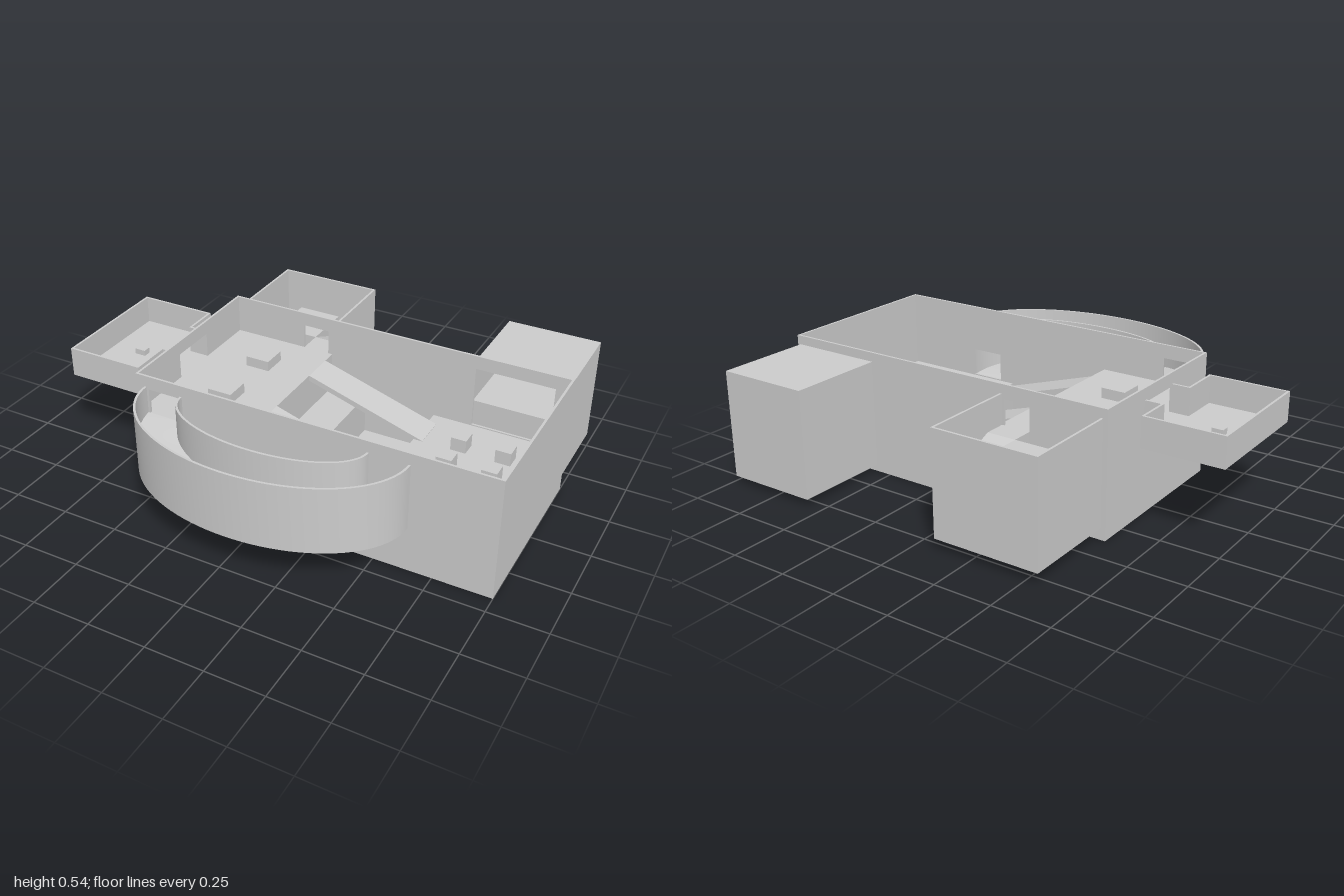
import * as THREE from 'three';

const T = 0.01; // wall thickness

export function createModel() {
  const model = new THREE.Group();
  const stone = new THREE.MeshStandardMaterial({ color: 0xcccccc });
  stone.name = 'light grey';

  const add = (name, geometry) => {
    const mesh = new THREE.Mesh(geometry, stone);
    mesh.name = name;
    model.add(mesh);
    return mesh;
  };

  // Box given by its limits
  const block = (name, x0, x1, y0, y1, z0, z1) =>
    add(name, new THREE.BoxGeometry(x1 - x0, y1 - y0, z1 - z0)
      .translate((x0 + x1) / 2, (y0 + y1) / 2, (z0 + z1) / 2));

  // Box whose top and bottom heights follow rules of x and z
  const slopedBlock = (name, x0, x1, z0, z1, top, bottom) => {
    const g = new THREE.BoxGeometry(x1 - x0, 1, z1 - z0).translate((x0 + x1) / 2, 0, (z0 + z1) / 2);
    const p = g.attributes.position;
    for (let i = 0; i < p.count; i++) {
      const rule = p.getY(i) > 0 ? top : bottom;
      p.setY(i, rule(p.getX(i), p.getZ(i)));
    }
    const flat = g.toNonIndexed();
    flat.computeVertexNormals();
    return add(name, flat);
  };

  // Upright wall along x (or z) with rectangular doorways [a0, a1, y0, y1]
  const wall = (name, a0, a1, y0, y1, at, doors = [], alongZ = false) => {
    const rect = (s, l, r, b, t) => s.moveTo(l, b).lineTo(r, b).lineTo(r, t).lineTo(l, t).closePath();
    const sign = alongZ ? -1 : 1;
    const shape = rect(new THREE.Shape(), ...[a0 * sign, a1 * sign].sort((a, b) => a - b), y0, y1);
    for (const [d0, d1, b, t] of doors) {
      const [l, r] = [d0 * sign, d1 * sign].sort((a, b) => a - b);
      shape.holes.push(rect(new THREE.Path(), l, r, b, t));
    }
    const g = new THREE.ExtrudeGeometry(shape, { depth: T, bevelEnabled: false });
    if (alongZ) g.rotateY(Math.PI / 2).translate(at, 0, 0);
    else g.translate(0, 0, at);
    return add(name, g);
  };

  // Main hall walls with doorways to the annexes
  wall('hallFrontWall', -0.58, 1, 0, 0.54, 0.42 - T, [[-0.52, -0.38, 0.37, 0.48], [0.48, 0.63, 0.205, 0.33]]);
  wall('hallBackWall', -0.58, 1, 0, 0.54, -0.375, [[-0.23, -0.11, 0.37, 0.48], [0.585, 0.93, 0.205, 0.48]]);
  wall('hallLeftWall', -0.365, 0.41, 0, 0.54, 1 - T, [], true);
  wall('hallRightWall', -0.365, 0.41, 0, 0.54, -0.58, [[-0.09, 0.12, 0.37, 0.48]], true);

  // Hall floors: high platform, low floor, middle bridge, sunken pits
  const zb = -0.365, zf = 0.41;
  block('hallBase', -0.57, 0.99, 0, 0.02, zb, zf);
  block('highPlatform', -0.57, -0.09, 0.02, 0.37, zb, zf);
  block('middleFloor', -0.09, 0.08, 0.02, 0.2, zb, zf);
  block('bridge', 0.08, 0.41, 0.02, 0.2, -0.04, 0.06);
  block('lowFloor', 0.41, 0.99, 0.02, 0.2, zb, zf);

  // Ramps joining the platform and the low floor
  const rampTop = (x) => 0.37 - 0.168 * (x + 0.09) / 0.54;
  for (const [z0, z1] of [[-0.3, -0.15], [0.13, 0.3]]) {
    slopedBlock('hallRamp', -0.09, 0.45, z0, z1, rampTop, (x) => rampTop(x) - 0.025);
  }

  // Crates
  for (const z of [-0.155, 0.155]) block('largeCrate', -0.375, -0.265, 0.37, 0.415, z - 0.055, z + 0.055);
  for (const x of [0.61, 0.805]) {
    for (const z of [-0.185, -0.025, 0.135]) {
      block('smallCrate', x - 0.034, x + 0.034, 0.2, 0.26, z - 0.034, z + 0.034);
    }
  }

  // Side room and its neck
  block('sideRoomFloor', -1, -0.65, 0.36, 0.37, -0.25, 0.31);
  block('neckFloor', -0.65, -0.58, 0.36, 0.37, -0.1, 0.13);
  wall('sideRoomBackWall', -1, -0.65, 0.36, 0.49, -0.25);
  wall('sideRoomFrontWall', -1, -0.65, 0.36, 0.49, 0.3);
  wall('sideRoomOuterWall', -0.24, 0.3, 0.36, 0.49, -1, [], true);
  wall('sideRoomInnerWall', -0.24, -0.09, 0.36, 0.49, -0.66, [], true);
  wall('sideRoomInnerWall', 0.12, 0.3, 0.36, 0.49, -0.66, [], true);
  wall('neckBackWall', -0.65, -0.58, 0.36, 0.49, -0.1);
  wall('neckFrontWall', -0.65, -0.58, 0.36, 0.49, 0.12);
  block('sideRoomCrate', -0.865, -0.815, 0.37, 0.395, 0.007, 0.043);

  // Open stair room: ramps winding down around a column
  wall('stairRoomBackWall', -0.56, -0.09, 0.05, 0.5, -0.8);
  wall('stairRoomRightWall', -0.79, -0.375, 0.05, 0.5, -0.56, [], true);
  wall('stairRoomLeftWall', -0.79, -0.375, 0.05, 0.5, -0.1, [], true);
  block('stairRoomFloor', -0.55, -0.1, 0.05, 0.07, -0.79, -0.375);
  block('stairColumn', -0.43, -0.23, 0.07, 0.37, -0.7, -0.47);
  block('topLanding', -0.23, -0.1, 0.07, 0.37, -0.47, -0.375);
  const low = () => 0.07;
  slopedBlock('windingRamp', -0.23, -0.1, -0.7, -0.47, (x, z) => 0.27 + 0.1 * (z + 0.7) / 0.23, low);
  block('cornerLanding', -0.23, -0.1, 0.07, 0.27, -0.79, -0.7);
  slopedBlock('windingRamp', -0.43, -0.23, -0.79, -0.7, (x) => 0.18 + 0.09 * (x + 0.43) / 0.2, low);
  block('cornerLanding', -0.55, -0.43, 0.07, 0.18, -0.79, -0.7);
  slopedBlock('windingRamp', -0.55, -0.43, -0.7, -0.47, (x, z) => 0.18 - 0.1 * (z + 0.7) / 0.23, low);

  // Roofed back room
  block('backRoomRoof', 0.57, 0.985, 0.49, 0.5, -0.8, -0.375);
  block('backRoomBase', 0.57, 0.985, 0.03, 0.32, -0.8, -0.375);
  wall('backRoomBackWall', 0.57, 0.985, 0.32, 0.49, -0.8);
  wall('backRoomRightWall', -0.79, -0.375, 0.32, 0.49, 0.57, [], true);
  wall('backRoomLeftWall', -0.79, -0.375, 0.32, 0.49, 0.975, [], true);

  // Curved corridor: half-ellipse strips swept from one doorway to the other
  const sweep = (name, rx0, rz0, rx1, rz1, bottom, top) => {
    const N = 48, pos = [];
    const corner = (i, k) => {
      const a = Math.PI * (1 - i / N);
      const outer = k === 1 || k === 2;
      return [0.05 + (outer ? rx1 : rx0) * Math.cos(a), k < 2 ? bottom : top(i / N),
        0.42 + (outer ? rz1 : rz0) * Math.sin(a)];
    };
    for (let k = 0; k < 4; k++) {
      const strip = [], index = [], n = (k + 1) % 4;
      for (let i = 0; i <= N; i++) {
        strip.push(...corner(i, k), ...corner(i, n));
        if (i < N) index.push(2 * i, 2 * i + 2, 2 * i + 1, 2 * i + 1, 2 * i + 2, 2 * i + 3);
      }
      const g = new THREE.BufferGeometry();
      g.setAttribute('position', new THREE.Float32BufferAttribute(strip, 3));
      g.setIndex(index);
      g.computeVertexNormals();
      pos.push(g);
    }
    pos.forEach((g) => add(name, g));
  };
  sweep('corridorOuterWall', 0.58, 0.36, 0.59, 0.37, 0.2, () => 0.49);
  sweep('corridorInnerWall', 0.41, 0.19, 0.42, 0.2, 0.2, () => 0.49);
  sweep('corridorRamp', 0.42, 0.2, 0.58, 0.36, 0.2, (t) => 0.37 - 0.165 * t);

  return model;
}
